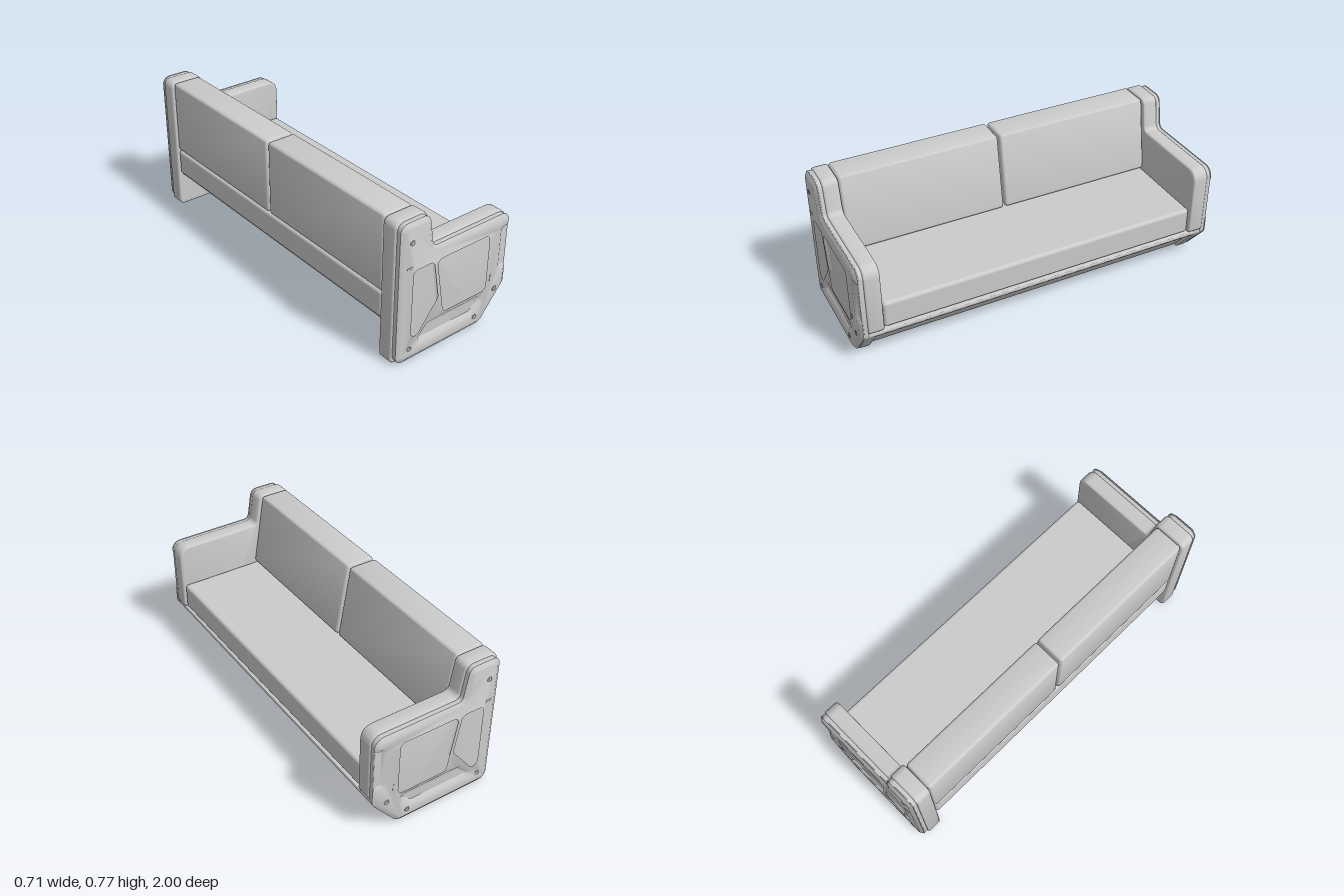
import * as THREE from 'three';
import { toCreasedNormals } from 'three/addons/utils/BufferGeometryUtils.js';
import { RoundedBoxGeometry } from 'three/addons/geometries/RoundedBoxGeometry.js';

const grey = new THREE.MeshStandardMaterial({ color: 0xcccccc });

// Polygon of [x, y, radius] corners turned into points with true corner arcs
function rounded(corners, n = 5) {
  const out = [];
  corners.forEach(([x, y, r = 0.01], i) => {
    const p = new THREE.Vector2(x, y);
    const dir = (j) => {
      const q = corners[(j + corners.length) % corners.length];
      return new THREE.Vector2(q[0], q[1]).sub(p).normalize();
    };
    const u = dir(i - 1), v = dir(i + 1);
    const half = Math.acos(u.dot(v)) / 2;
    const c = u.clone().add(v).normalize().multiplyScalar(r / Math.sin(half)).add(p);
    const t = r / Math.tan(half);
    const a0 = u.multiplyScalar(t).add(p).sub(c).angle();
    let d = v.multiplyScalar(t).add(p).sub(c).angle() - a0;
    if (d > Math.PI) d -= 2 * Math.PI;
    if (d < -Math.PI) d += 2 * Math.PI;
    for (let k = 0; k <= n; k++) {
      const a = a0 + (d * k) / n;
      out.push(new THREE.Vector2(c.x + r * Math.cos(a), c.y + r * Math.sin(a)));
    }
  });
  return out;
}

// Profile in x/y extruded along z between z0 and z1, with bevelled rims
function slab(name, corners, z0, z1, { size = 0.01, thick = size, offset = -size, segments = 3, holes = [] } = {}) {
  const shape = new THREE.Shape(rounded(corners));
  holes.forEach((h) => shape.holes.push(new THREE.Path(rounded(h))));
  const lo = Math.min(z0, z1), depth = Math.abs(z1 - z0) - 2 * thick;
  const geo = new THREE.ExtrudeGeometry(shape, {
    depth, bevelEnabled: true, bevelSize: size, bevelThickness: thick, bevelOffset: offset, bevelSegments: segments,
  });
  geo.translate(0, 0, lo + thick);
  return part(name, toCreasedNormals(geo, 0.6));
}

function part(name, geo, x = 0, y = 0, z = 0) {
  const mesh = new THREE.Mesh(geo, grey);
  mesh.name = name;
  mesh.position.set(x, y, z);
  return mesh;
}

// Side outline, with an optional notch in its front edge
const notch = [[0.325, 0.53, 0.004], [0.285, 0.52, 0.022], [0.285, 0.285, 0.022], [0.325, 0.275, 0.004]];
const sideOutline = (cut) => [
  [-0.325, 0.745, 0.02], [-0.193, 0.745, 0.02], [-0.163, 0.565, 0.05], [0.325, 0.565, 0.03],
  ...cut,
  [0.325, 0.195, 0.02], [0.19, 0.03, 0.03], [-0.325, 0.03, 0.02],
];
const padOutline = [
  [-0.355, 0.77, 0.035], [-0.17, 0.77, 0.035], [-0.14, 0.592, 0.03], [0.352, 0.592, 0.06],
  [0.352, 0.205, 0.02], [0.3, 0.205, 0.013], [0.11, 0, 0.015], [-0.355, 0, 0.03],
];
const R = 0.027;
const recesses = [
  [[-0.27, 0.51, R], [-0.145, 0.51, R], [-0.108, 0.3, R], [-0.27, 0.09, R]],
  [[-0.125, 0.51, R], [0.21, 0.51, R], [0.21, 0.2, R], [-0.07, 0.2, R]],
  [[-0.265, 0.085, R], [0.13, 0.085, R], [0.235, 0.185, R], [-0.165, 0.185, R]],
];
const screws = [[-0.285, 0.665], [-0.275, 0.08], [0.15, 0.067], [0.273, 0.18]];

// One end of the sofa; s is +1 or -1 along z
function sofaEnd(s) {
  const end = new THREE.Group();
  end.name = s > 0 ? 'frontEnd' : 'backEnd';
  end.add(
    slab('armPad', padOutline, s * 0.875, s * 0.96, { size: 0.012 }),
    slab('sidePanelBase', sideOutline([]), s * 0.955, s * 0.984, { size: 0.004, offset: 0.016 }),
    slab('sidePanelFace', sideOutline(notch), s * 0.966, s * 0.998,
      { size: 0.022, thick: 0.014, offset: 0, segments: 1, holes: recesses }),
    // solid end of the sloped front apron
    slab('apronEnd', [[0.343, 0.203], [0.343, 0.185, 0.015], [0.203, 0.01, 0.02], [0.12, 0.01], [0.295, 0.203]],
      s * 0.915, s * 0.97, { size: 0.005 }),
  );
  // screw heads and slots
  for (const [x, y] of screws) {
    end.add(part('screwRing', new THREE.TorusGeometry(0.0125, 0.002, 6, 24), x, y, s * 0.998));
    const head = new THREE.CylinderGeometry(0.008, 0.008, 0.003, 16).rotateX(Math.PI / 2);
    end.add(part('screwHead', head, x, y, s * 0.998));
  }
  end.add(part('slot', new RoundedBoxGeometry(0.034, 0.009, 0.004, 2, 0.0015), -0.295, 0.535, s * 0.998));
  end.add(part('slot', new RoundedBoxGeometry(0.009, 0.034, 0.004, 2, 0.0015), 0.238, 0.257, s * 0.998));
  return end;
}

export function createModel() {
  const sofa = new THREE.Group();
  sofa.name = 'sofa';
  sofa.add(sofaEnd(1), sofaEnd(-1));

  // seat cushion and the thin deck under it
  sofa.add(part('seatCushion', new RoundedBoxGeometry(0.685, 0.146, 1.744, 4, 0.018), -0.0025, 0.285, 0));
  sofa.add(part('seatDeck', new THREE.BoxGeometry(0.64, 0.02, 1.74), -0.01, 0.212, 0));

  // two wedge-shaped back cushions
  const back = [[-0.345, 0.77, 0.018], [-0.183, 0.77, 0.018], [-0.115, 0.361, 0.018], [-0.345, 0.361, 0.018]];
  for (const s of [1, -1]) sofa.add(slab('backCushion', back, s * 0.006, s * 0.872, { size: 0.015 }));

  // front apron: top rail and recessed sloped panel
  sofa.add(slab('apronRail',
    [[0.343, 0.203], [0.343, 0.185, 0.015], [0.326, 0.164, 0.005], [0.27, 0.164, 0.005], [0.27, 0.203]],
    -0.96, 0.96, { size: 0.004 }));
  sofa.add(slab('apronPanel',
    [[0.318, 0.18, 0.004], [0.182, 0.01, 0.004], [0.14, 0.01, 0.004], [0.276, 0.18, 0.004]],
    -0.93, 0.93, { size: 0.003 }));
  return sofa;
}
